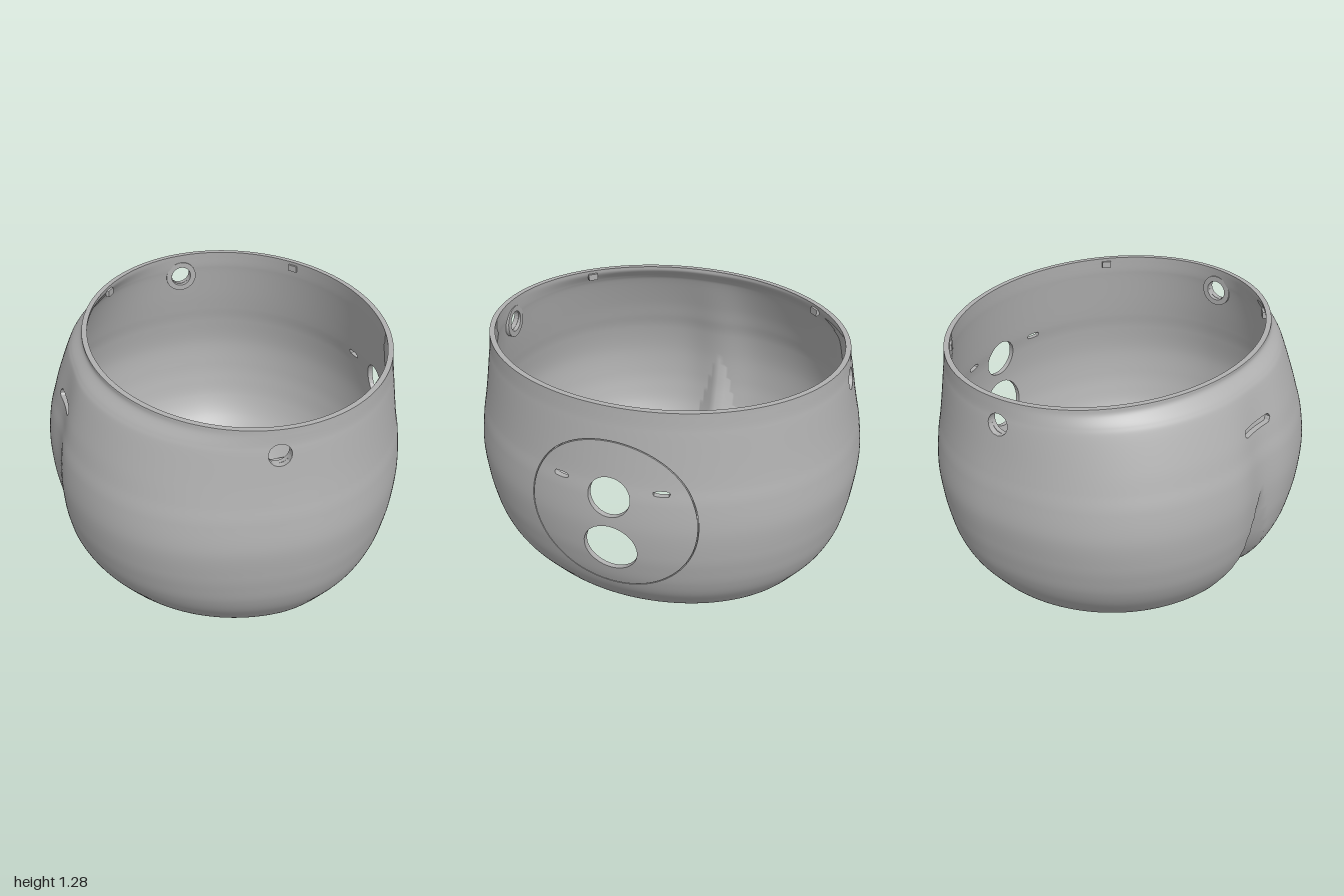
import * as THREE from 'three';

const CX = 0.06, WALL = 0.027, NU = 256, PER_ROW = 7;

// Silhouette rows: y, left x, right x, half depth
const ROWS = [
  [0, -0.68, 0.62, 0.74], [0.03, -0.715, 0.665, 0.775], [0.1, -0.765, 0.725, 0.83],
  [0.2, -0.825, 0.80, 0.90], [0.3, -0.865, 0.845, 0.945], [0.4, -0.887, 0.872, 0.97],
  [0.5, -0.90, 0.89, 0.987], [0.65, -0.905, 0.90, 1.0], [0.8, -0.89, 0.89, 0.985],
  [0.9, -0.866, 0.873, 0.967], [1.0, -0.84, 0.86, 0.95], [1.15, -0.79, 0.842, 0.928],
  [1.2, -0.763, 0.836, 0.92], [1.25, -0.712, 0.832, 0.916], [1.28, -0.705, 0.83, 0.914],
];
const curve = (f) => new THREE.CatmullRomCurve3(ROWS.map(f), false, 'catmullrom', 0.5);
const heights = curve((r) => new THREE.Vector3(r[0], 0, 0));
const widths = curve((r) => new THREE.Vector3(r[1], r[2], r[3]));

// Outer skin: two half ellipses, fuller rear lobes, a soft dent and a flaring cleft at -x
function skin(theta, v) {
  const y = heights.getPoint(v).x, w = widths.getPoint(v);
  const c = Math.cos(theta), s = Math.sin(theta);
  let x = c * (c > 0 ? w.y - CX : CX - w.x), z = s * w.z;
  if (c < 0) {
    const env = Math.sin(Math.PI * Math.min(y / 1.28, 1));
    const k = 1 + env * 0.04 * Math.sin(2 * theta) ** 2;
    x *= k * (1 + 0.012 * env * c * c);
    z *= k;
    x += 0.04 * env * Math.exp(-((z / 0.15) ** 2)) * c * c;
    const t = Math.max(0, 1 - y / 0.65);
    x += 0.14 * t * Math.max(0, 1 - Math.abs(z) / (0.17 * t + 0.01));
  }
  return new THREE.Vector3(CX + x, y, z);
}

// Skin point with its normal and the matching point on the inner wall
function sample(theta, v) {
  const e = 1e-3, p = skin(theta, v);
  const du = skin(theta + e, v).sub(skin(theta - e, v));
  const dv = skin(theta, Math.min(1, v + e)).sub(skin(theta, Math.max(0, v - e)));
  const n = dv.cross(du).normalize();
  const q = p.clone().addScaledVector(new THREE.Vector3(n.x, 0, n.z).normalize(), -WALL);
  return { p, n, q };
}

// Signed distances to the openings (positive on solid material)
const pill = (a, b, half, r) => Math.hypot(Math.max(0, Math.abs(a) - half), b) - r;
function openings({ p }) {
  let d = Math.hypot(p.x, p.y - 1.15) - 0.055;
  if (p.x > 0.5) {
    d = Math.min(Math.hypot(p.z, p.y - 0.815) - 0.105, Math.hypot(p.z, p.y - 0.52) - 0.136,
      pill(Math.abs(p.z) - 0.25, p.y - 0.87, 0.026, 0.014));
  }
  return d;
}
const panelRadius = ({ p }) => (p.x > 0.5 ? Math.hypot(p.z, p.y - 0.685) : 9);
const rearSlot = ({ p }) => (p.x < -0.5 ? pill(p.z, p.y - 1.0, 0.09, 0.022) : 9);

const lerp = (a, b, t) => ({
  p: a.p.clone().lerp(b.p, t), n: a.n.clone().lerp(b.n, t).normalize(), q: a.q.clone().lerp(b.q, t),
});

// Collects triangles with normals
class Surface {
  constructor() { this.pos = []; this.nor = []; }
  tri(pts, normals) {
    pts.forEach((p, i) => { this.pos.push(p.x, p.y, p.z); this.nor.push(normals[i].x, normals[i].y, normals[i].z); });
  }
  quad(a, b, c, d) {
    const n = c.clone().sub(a).cross(d.clone().sub(b)).normalize();
    this.tri([a, b, c], [n, n, n]);
    this.tri([a, c, d], [n, n, n]);
  }
  mesh(name, material) {
    const g = new THREE.BufferGeometry();
    g.setAttribute('position', new THREE.Float32BufferAttribute(this.pos, 3));
    g.setAttribute('normal', new THREE.Float32BufferAttribute(this.nor, 3));
    const m = new THREE.Mesh(g, material);
    m.name = name;
    return m;
  }
}

// Trims one triangle by a signed distance; cut edges get walls through the shell
function trim(tri, dist, surface, walls, inner) {
  const d = tri.map(dist), poly = [];
  if (d.every((x) => x <= 0)) return;
  let exit = null, entry = null;
  for (let i = 0; i < 3; i++) {
    const j = (i + 1) % 3;
    if (d[i] > 0) poly.push(tri[i]);
    if ((d[i] > 0) !== (d[j] > 0)) {
      const m = lerp(tri[i], tri[j], d[i] / (d[i] - d[j]));
      poly.push(m);
      if (d[i] > 0) exit = m; else entry = m;
    }
  }
  for (let i = 1; i + 1 < poly.length; i++) {
    const t = [poly[0], poly[i], poly[i + 1]];
    if (inner) {
      t.reverse();
      surface.tri(t.map((k) => k.q), t.map((k) => k.n.clone().negate()));
    } else surface.tri(t.map((k) => k.p), t.map((k) => k.n));
  }
  if (walls && exit && entry) walls.quad(entry.p, exit.p, exit.q, entry.q);
}

export function createModel() {
  const group = new THREE.Group();
  const grey = new THREE.MeshStandardMaterial({ color: 0xb0b0b0, side: THREE.DoubleSide });
  grey.name = 'grey';
  const add = (name, geometry, parent = group) => {
    const m = new THREE.Mesh(geometry, grey);
    m.name = name;
    parent.add(m);
    return m;
  };

  // Shell: trimmed outer skin, inset round panel, inner skin, opening walls and rims
  const outer = new Surface(), inner = new Surface(), panel = new Surface();
  const walls = new Surface(), rims = new Surface();
  const NV = (ROWS.length - 1) * PER_ROW, grid = [];
  for (let j = 0; j <= NV; j++) {
    grid.push([]);
    for (let i = 0; i < NU; i++) grid[j].push(sample((i / NU) * Math.PI * 2, j / NV));
  }
  const bodyDist = (k) => Math.min(openings(k), rearSlot(k), panelRadius(k) - 0.423);
  const panelDist = (k) => Math.min(openings(k), 0.418 - panelRadius(k));
  for (let i = 0; i < NU; i++) {
    const i2 = (i + 1) % NU;
    for (let j = 0; j < NV; j++) {
      const a = grid[j][i], b = grid[j + 1][i], c = grid[j][i2], d = grid[j + 1][i2];
      for (const t of [[a, b, c], [c, b, d]]) {
        trim(t, bodyDist, outer, walls);
        trim(t, panelDist, panel, walls);
        trim(t, openings, inner, null, true);
      }
    }
    const [b0, b1, t0, t1] = [grid[0][i], grid[0][i2], grid[NV][i], grid[NV][i2]];
    rims.quad(b0.p, b1.p, b1.q, b0.q);
    rims.quad(t0.p, t0.q, t1.q, t1.p);
  }
  group.add(outer.mesh('outerShell', grey), inner.mesh('innerShell', grey), panel.mesh('roundPanel', grey),
    walls.mesh('openingWalls', grey), rims.mesh('rims', grey));

  // Flat ring helper
  const ring = (r, hole, depth) => {
    const s = new THREE.Shape().absarc(0, 0, r, 0, Math.PI * 2);
    s.holes.push(new THREE.Path().absarc(0, 0, hole, 0, Math.PI * 2, true));
    return new THREE.ExtrudeGeometry(s, { depth, bevelEnabled: false, curveSegments: 24 });
  };

  // Collars inside the front and back holes
  for (const side of [1, -1]) {
    add('holeCollar', ring(0.085, 0.055, 0.022)).position.set(0, 1.15, side * 0.894 - 0.011);
  }

  // Screw tabs: rounded end with a hole, root cut to meet the wall
  const tab = (x, z, dir, nearRoot, farRoot) => {
    const r = 0.056, s = new THREE.Shape();
    s.moveTo(nearRoot, -r).lineTo(0, -r);
    s.absarc(0, 0, r, -Math.PI / 2, Math.PI / 2, true);
    s.lineTo(farRoot, r).closePath();
    s.holes.push(new THREE.Path().absarc(0, 0, 0.02, 0, Math.PI * 2));
    const g = new THREE.Group();
    g.name = 'screwTab';
    add('tabPlate', new THREE.ExtrudeGeometry(s, { depth: 0.03, bevelEnabled: false, curveSegments: 16 }), g);
    add('tabCollar', ring(0.04, 0.02, 0.012), g).position.z = dir * Math.sign(z) > 0 ? 0.03 : -0.012;
    // Lay the plate flat; its local +x runs to the wall, local +y away from the middle
    g.rotation.set(dir * Math.sign(z) > 0 ? Math.PI / 2 : -Math.PI / 2, 0, dir > 0 ? 0 : Math.PI);
    g.position.set(x, dir * Math.sign(z) > 0 ? 0.055 : 0.025, z);
    group.add(g);
  };
  for (const side of [1, -1]) {
    tab(0.43, side * 0.42, 1, 0.15, 0.1);
    tab(-0.555, side * 0.19, -1, 0.12, 0.1);
  }

  // Small catches around the inside of the top rim
  for (let i = 0; i < 4; i++) {
    const k = sample(Math.PI / 4 + (i * Math.PI) / 2, 1);
    const nub = add('rimCatch', new THREE.BoxGeometry(0.05, 0.035, 0.02));
    nub.position.set(k.q.x, 1.245, k.q.z);
    nub.rotation.y = Math.atan2(k.n.x, k.n.z);
  }
  return group;
}
